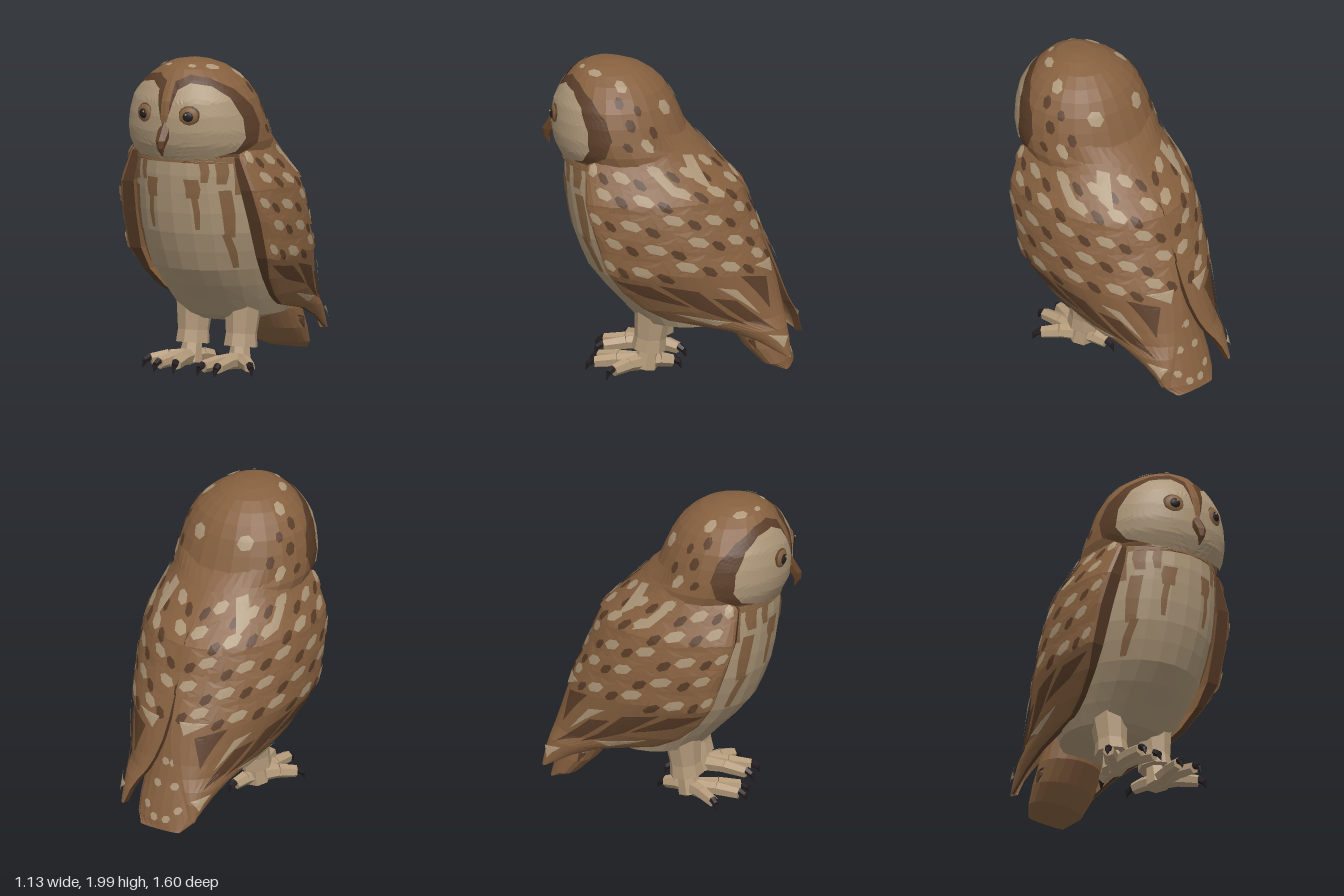
import * as THREE from 'three';
import { mergeGeometries } from 'three/addons/utils/BufferGeometryUtils.js';

const mat = (name, color) => new THREE.MeshStandardMaterial({ name, color, side: THREE.DoubleSide });
const M = {
  brown: mat('feather brown', 0x86603f),
  dark: mat('dark brown', 0x5a3d28),
  streak: mat('streak brown', 0x866342),
  cream: mat('cream', 0xac9678),
  leg: mat('leg buff', 0xb39a7a),
  iris: mat('iris brown', 0x83603e),
  black: mat('claw black', 0x241d20),
  beak: mat('beak brown', 0x644229),
};
const V = (x, y, z) => new THREE.Vector3(x, y, z);
const rad = THREE.MathUtils.degToRad;

function mesh(parent, name, geo, material) {
  const m = new THREE.Mesh(geo, material);
  m.name = name;
  parent.add(m);
  return m;
}

// Faceted geometry from a grid of points
function skin(rows) {
  const pos = [];
  const tri = (...p) => p.forEach(q => pos.push(q.x, q.y, q.z));
  for (let i = 0; i + 1 < rows.length; i++)
    for (let j = 0; j + 1 < rows[i].length; j++) {
      const [a, b, c, d] = [rows[i][j], rows[i][j + 1], rows[i + 1][j + 1], rows[i + 1][j]];
      tri(a, d, c);
      tri(a, c, b);
    }
  const g = new THREE.BufferGeometry();
  g.setAttribute('position', new THREE.Float32BufferAttribute(pos, 3));
  g.computeVertexNormals();
  return g;
}

// Interpolate a table of rows [y, ...values], with y falling
function sample(table, y) {
  let i = 0;
  while (i < table.length - 2 && y < table[i + 1][0]) i++;
  const a = table[i], b = table[i + 1];
  const t = THREE.MathUtils.clamp((a[0] - y) / (a[0] - b[0]), 0, 1);
  return a.map((v, k) => v + (b[k] - v) * t);
}

// Oval sections [y, zFront, zBack, halfWidth]; angle 0 is the front, 90 the left
const oval = table => (deg, y) => {
  const [yy, f, b, w] = sample(table, y);
  const a = rad(deg);
  return V(w * Math.sin(a), yy, (f + b) / 2 + (f - b) / 2 * Math.cos(a));
};
function loft(table, n, a0 = 0, a1 = 360) {
  const s = oval(table);
  const rows = table.map(t => Array.from({ length: n + 1 }, (_, j) => s(a0 + (a1 - a0) * j / n, t[0])));
  const cap = ([y, f, b]) => Array.from({ length: n + 1 }, () => V(0, y, (f + b) / 2));
  return skin([cap(table[0]), ...rows, cap(table[table.length - 1])]);
}

// Thin patch laid over a surface s(u, y), lifted along its normal
function patch(s, outline, lift = 0.006, tip = 0, rings = 2, sub = 2, eu = 1) {
  const ys = outline.map(p => p[1]);
  const top = Math.max(...ys), h = top - Math.min(...ys);
  const c = [0, 1].map(k => outline.reduce((t, p) => t + p[k], 0) / outline.length);
  const edge = [];
  outline.forEach((p, i) => {
    const q = outline[(i + 1) % outline.length];
    for (let k = 0; k < sub; k++) edge.push([p[0] + (q[0] - p[0]) * k / sub, p[1] + (q[1] - p[1]) * k / sub]);
  });
  edge.push(edge[0]);
  const at = (u, y) => {
    const p = s(u, y);
    const n = s(u + eu, y).sub(s(u - eu, y)).cross(s(u, y + 0.02).sub(s(u, y - 0.02))).normalize();
    if (n.x * p.x + n.z * (p.z - 0.1) < 0) n.negate();
    return p.addScaledVector(n, lift + tip * (top - y) / h);
  };
  return skin(Array.from({ length: rings + 1 }, (_, r) =>
    edge.map(e => at(c[0] + (e[0] - c[0]) * r / rings, c[1] + (e[1] - c[1]) * r / rings))));
}
const blob = (u, y, du, dy, slant = 0) => [[-1, 0.3], [-0.4, 1], [0.6, 0.8], [1, -0.2], [0.4, -1], [-0.6, -0.8]]
  .map(([a, b]) => [u + a * du, y + b * dy - a * slant]);

// Tapered rod between two points
function rod(p, q, r0, r1, n = 6) {
  const d = q.clone().sub(p);
  const g = new THREE.CylinderGeometry(r1, r0, d.length(), n).toNonIndexed();
  g.computeVertexNormals();
  g.applyQuaternion(new THREE.Quaternion().setFromUnitVectors(V(0, 1, 0), d.clone().normalize()));
  return g.translate(...p.clone().add(q).multiplyScalar(0.5).toArray());
}

const HEAD = [[2, 0.42, 0.34, 0.03], [1.985, 0.52, 0.26, 0.12], [1.95, 0.585, 0.16, 0.2], [1.9, 0.63, 0.09, 0.275],
  [1.84, 0.67, 0.03, 0.335], [1.76, 0.71, -0.02, 0.385], [1.67, 0.725, -0.06, 0.415], [1.57, 0.725, -0.1, 0.435],
  [1.49, 0.71, -0.16, 0.44], [1.42, 0.675, -0.2, 0.425], [1.36, 0.64, -0.2, 0.4]];
const BODY = [[1.5, 0.62, -0.12, 0.38], [1.4, 0.66, -0.2, 0.41], [1.29, 0.66, -0.29, 0.44], [1.18, 0.65, -0.36, 0.46],
  [1.05, 0.633, -0.41, 0.468], [0.92, 0.605, -0.44, 0.47], [0.8, 0.562, -0.47, 0.455], [0.68, 0.51, -0.48, 0.43],
  [0.57, 0.42, -0.48, 0.405], [0.47, 0.32, -0.46, 0.375], [0.36, 0.215, -0.43, 0.33], [0.325, 0.15, -0.2, 0.21]];
const TAIL = [[0.75, -0.3, -0.56, 0.15], [0.45, -0.35, -0.64, 0.2], [0.33, -0.37, -0.68, 0.22],
  [0.2, -0.46, -0.73, 0.22], [0.1, -0.57, -0.765, 0.2], [0.05, -0.74, -0.775, 0.14]];
const BEAK = [[1.63, 0.735, 0.68, 0.02], [1.58, 0.765, 0.68, 0.045], [1.52, 0.8, 0.72, 0.038],
  [1.47, 0.795, 0.75, 0.022], [1.42, 0.755, 0.75, 0.004]];
// Wing sections: y, inner and outer front x, front z, widest x and its z, rear x and z
const WING = [[1.6, 0.25, 0.3, 0.2, 0.36, 0.1, 0, -0.06], [1.5, 0.3, 0.34, 0.38, 0.39, 0.2, 0, -0.17],
  [1.4, 0.34, 0.39, 0.47, 0.44, 0.25, 0, -0.26], [1.2, 0.39, 0.47, 0.46, 0.53, 0.2, 0, -0.46],
  [1, 0.41, 0.5, 0.4, 0.55, 0.15, 0, -0.53], [0.76, 0.42, 0.5, 0.32, 0.54, 0.1, 0.01, -0.63],
  [0.62, 0.41, 0.46, 0.23, 0.49, 0, 0.03, -0.68], [0.5, 0.38, 0.42, 0.1, 0.44, -0.1, 0.07, -0.715],
  [0.42, 0.34, 0.38, -0.05, 0.39, -0.2, 0.11, -0.74], [0.35, 0.29, 0.32, -0.42, 0.335, -0.5, 0.16, -0.765],
  [0.28, 0.27, 0.29, -0.6, 0.3, -0.64, 0.2, -0.785], [0.18, 0.245, 0.26, -0.77, 0.265, -0.78, 0.24, -0.8]];
const wing = (u, y) => {
  const [yy, , xof, zf, xo, zo, xi, zb] = sample(WING, y);
  u = THREE.MathUtils.clamp(u, 0, 1);
  if (u < 0.3) {
    const t = u / 0.3 * Math.PI / 2;
    return V(xof + (xo - xof) * Math.sin(t), yy, zf + (zo - zf) * (1 - Math.cos(t)));
  }
  const t = (u - 0.3) / 0.7 * Math.PI / 2;
  return V(xi + (xo - xi) * Math.cos(t), yy, zo + (zb - zo) * Math.sin(t));
};
const wingInner = (u, y) => {
  const w = sample(WING, y), p = wing(u, y);
  return V(p.x * w[1] / w[2], p.y, p.z + 0.04 * u);
};

function buildSide() {
  const side = new THREE.Group();
  const head = oval(HEAD), body = oval(BODY), tail = oval(TAIL);
  const merged = (name, geos, material) => mesh(side, name, mergeGeometries(geos), material);

  // Face: dark rim under a pale disc
  mesh(side, 'faceRim', patch(head, [[6, 1.88], [25, 1.92], [50, 1.9], [74, 1.83], [90, 1.72], [93, 1.6], [82, 1.49],
    [62, 1.43], [35, 1.43], [3, 1.6]], 0.005, 0, 8, 4), M.dark);
  mesh(side, 'faceDisc', patch(head, [[11, 1.83], [25, 1.87], [48, 1.85], [64, 1.78], [72, 1.65], [70, 1.53], [58, 1.45],
    [35, 1.41], [0, 1.39], [0, 1.5], [2, 1.62], [6, 1.72]], 0.011, 0, 8, 4), M.cream);

  // Eye
  const eye = new THREE.Group();
  eye.name = 'eye';
  eye.position.set(0.155, 1.675, 0.69);
  eye.rotation.y = 0.3;
  [['eyeRim', 0.075, 0, M.dark, 0.026], ['iris', 0.067, 0.006, M.iris, 0.026], ['pupil', 0.038, 0.02, M.black, 0.019]]
    .forEach(([name, r, z, m, depth]) => {
      const e = mesh(eye, name, new THREE.SphereGeometry(r, 12, 8), m);
      e.scale.set(1, 0.9, depth / r);
      e.position.z = z;
    });
  mesh(eye, 'eyeGlint', new THREE.SphereGeometry(0.007, 6, 4), M.cream).position.set(-0.012, 0.014, 0.036);
  side.add(eye);

  // Crown and nape spots
  merged('crownSpots', [[155, 1.75, 8, 0.045], [110, 1.9, 8, 0.03], [70, 1.955, 14, 0.014], [30, 1.965, 9, 0.008],
    [122, 1.56, 5, 0.045], [160, 1.5, 5, 0.03]].map(([a, y, da, dy]) => patch(head, blob(a, y, da, dy))), M.cream);
  merged('headMarks', [[104, 1.82, 5, 0.035], [112, 1.69, 5, 0.04], [122, 1.77, 4, 0.03], [132, 1.63, 4, 0.04],
    [105, 1.56, 4, 0.03]].map(([a, y, da, dy]) => patch(head, blob(a, y, da, dy))), M.dark);

  // Breast streaks
  const rects = [[0.34, 0.39, 1.17, 1.38], [0.28, 0.35, 0.9, 1.2], [0.28, 0.33, 0.7, 0.92],
    [0.18, 0.24, 1.25, 1.39], [0.09, 0.19, 1.15, 1.27], [0.13, 0.18, 0.95, 1.17], [0.26, 0.33, 1.24, 1.39]];
  const angle = (x, y) => THREE.MathUtils.radToDeg(Math.asin(Math.min(1, x / sample(BODY, y)[3])));
  merged('breastStreaks', rects.map(([x0, x1, y0, y1]) => {
    const d = 0.012, ym = (y0 + y1) / 2;
    return patch(body, [[x0, y1], [x1 - d, y1], [x1, ym], [x1 - d, y0], [x0 + d, y0], [x0 + d, ym]]
      .map(([x, y]) => [angle(x, y), y]), 0.009, 0, 3, 3);
  }), M.streak);
  mesh(side, 'collar', patch(body, [[0, 1.41], [60, 1.41], [60, 1.365], [0, 1.375]], 0.012, 0, 3, 6), M.streak);

  // Wing shell with dark edges
  const cols = Array.from({ length: 17 }, (_, i) => i / 16), ys = WING.map(w => w[0]);
  mesh(side, 'wing', skin(ys.map(y => cols.map(u => wing(u, y)))), M.brown);
  mesh(side, 'wingLining', skin(ys.map(y => cols.map(u => wingInner(u, y)))), M.brown);
  [0, 1].forEach(u => mesh(side, u ? 'wingRearEdge' : 'wingFrontEdge',
    skin(ys.map(y => [wing(u, y), wingInner(u, y)])), M.dark));

  // Overlapping coverts, each with a pale spot and a dark mark
  const coverts = [], spots = [], marks = [];
  [1.4, 1.27, 1.12, 0.97, 0.82].forEach((y, r) => {
    for (let i = 0; i < 5; i++) {
      const u = 0.12 + i * 0.185 + (r % 2) * 0.08, yy = y - 0.03 * (i % 2);
      coverts.push(patch(wing, [[-0.1, 0.07], [0.1, 0.07], [0.1, -0.03], [0.04, -0.075], [-0.07, -0.05]]
        .map(([a, b]) => [u + a, yy + b]), 0.002, 0.012, 2, 2, 0.02));
      spots.push(patch(wing, blob(u, yy, 0.046, 0.034, 0.01), 0.014, 0, 2, 1, 0.02));
      marks.push(patch(wing, blob(u + 0.085, yy - 0.04, 0.03, 0.032, 0.012), 0.015, 0, 2, 1, 0.02));
    }
  });
  merged('coverts', coverts, M.brown);
  merged('covertSpots', spots, M.cream);
  merged('covertMarks', marks, M.dark);

  // Long markings on the flight feathers and shoulder
  merged('flightBars', [[[0.08, 0.72], [0.3, 0.69], [0.4, 0.54], [0.22, 0.61]], [[0.34, 0.7], [0.48, 0.65], [0.56, 0.4], [0.42, 0.53]],
    [[0.52, 0.6], [0.62, 0.57], [0.74, 0.33], [0.6, 0.42]], [[0.7, 0.72], [0.86, 0.67], [0.8, 0.48]]]
    .map(o => patch(wing, o, 0.01, 0, 3, 3, 0.02)), M.dark);
  merged('paleBars', [[[0.3, 0.5], [0.52, 0.43], [0.4, 0.41]], [[0.57, 0.67], [0.65, 0.64], [0.71, 0.46]],
    [[0.8, 0.76], [0.95, 0.76], [0.92, 0.68]], [[0.7, 1.47], [0.78, 1.45], [0.74, 1.25], [0.68, 1.32]],
    [[0.44, 1.44], [0.51, 1.41], [0.6, 1.22], [0.52, 1.26]], [[0.55, 0.33], [0.85, 0.3], [0.6, 0.24]]]
    .map(o => patch(wing, o, 0.018, 0, 3, 2, 0.02)), M.cream);

  // Tail spots and the dark bars below
  merged('tailSpots', [[150, 0.18], [164, 0.32], [168, 0.12], [172, 0.46]]
    .map(([a, y]) => patch(tail, blob(a, y, 8, 0.024))), M.cream);
  merged('tailBars', [[[0, 0.13], [80, 0.12], [75, 0.07], [0, 0.07]], [[45, 0.32], [95, 0.27], [85, 0.2], [50, 0.22]]]
    .map(o => patch(tail, o, 0.006, 0, 2, 4)), M.dark);

  // Feathered leg, toes and claws
  const leg = new THREE.Group();
  leg.name = 'leg';
  side.add(leg);
  mesh(leg, 'shank', mergeGeometries([rod(V(0.175, 0.42, 0.075), V(0.175, 0.24, 0.095), 0.12, 0.1, 8),
    rod(V(0.175, 0.24, 0.095), V(0.175, 0.16, 0.105), 0.1, 0.108, 8)]), M.leg);
  mesh(leg, 'ankle', rod(V(0.175, 0.17, 0.105), V(0.18, 0.04, 0.13), 0.06, 0.08, 7), M.leg);
  [[0.36, 0.3], [0.215, 0.44], [0.1, 0.43], [0.12, -0.04]].forEach(([x, z]) => {
    const root = V(0.18, 0.075, 0.13), end = V(x, 0.065, z);
    const mid = root.clone().lerp(end, 0.55).setY(0.08);
    const out = end.clone().sub(root).setY(0).normalize();
    const bend = end.clone().addScaledVector(out, 0.038).setY(0.058);
    const tip = end.clone().addScaledVector(out, 0.055).setY(0.012);
    mesh(leg, 'toe', mergeGeometries([rod(root, mid, 0.055, 0.043), rod(mid, end, 0.046, 0.038)]), M.leg);
    mesh(leg, 'claw', mergeGeometries([rod(end.clone().setY(0.08), bend, 0.024, 0.02), rod(bend, tip, 0.02, 0.002)]), M.black);
  });
  return side;
}

export function createModel() {
  const owl = new THREE.Group();
  owl.name = 'owl';
  mesh(owl, 'head', loft(HEAD, 24), M.brown);
  mesh(owl, 'body', loft(BODY, 24), M.cream);
  mesh(owl, 'beak', loft(BEAK, 6), M.beak);
  mesh(owl, 'tail', loft(TAIL, 20), M.brown);

  // Mirror everything that comes in pairs
  const left = buildSide(), right = left.clone();
  left.name = 'leftSide';
  right.name = 'rightSide';
  right.scale.x = -1;
  owl.add(left, right);
  return owl;
}
